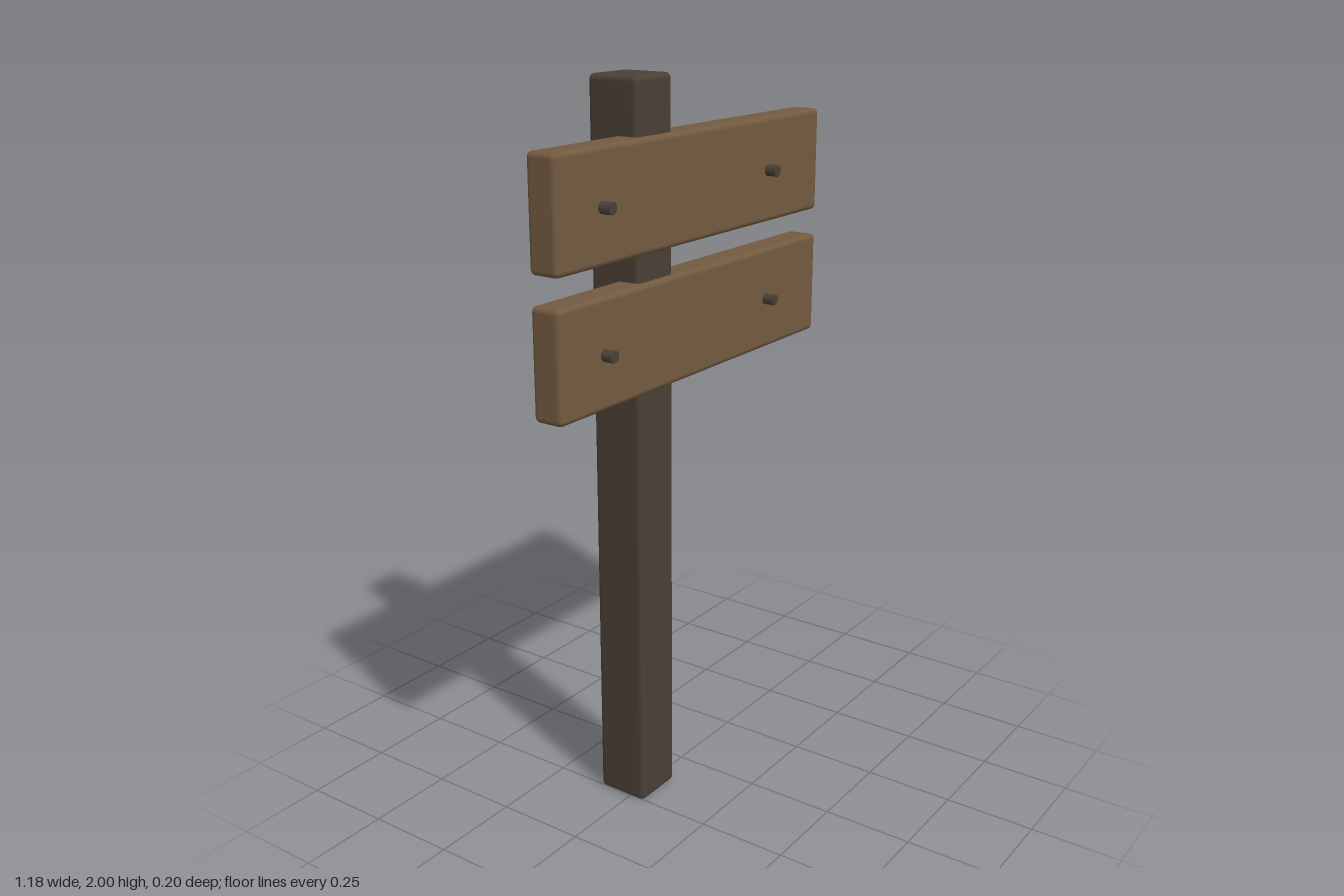
import * as THREE from 'three';
import { RoundedBoxGeometry } from 'three/addons/geometries/RoundedBoxGeometry.js';

export function createModel() {
  const group = new THREE.Group();
  const plankWood = new THREE.MeshStandardMaterial({ name: 'plankWood', color: 0x735a40 });
  const darkWood = new THREE.MeshStandardMaterial({ name: 'darkWood', color: 0x4a4035 });

  const add = (name, geometry, material, x, y, z) => {
    const mesh = new THREE.Mesh(geometry, material);
    mesh.name = name;
    mesh.position.set(x, y, z);
    group.add(mesh);
    return mesh;
  };

  // Square post with softened edges, set off to one side
  add('post', new RoundedBoxGeometry(0.151, 2, 0.151, 2, 0.015), darkWood, -0.182, 1, -0.0255);

  // Two sign planks, each with a pair of pegs sticking out in front
  const plank = new RoundedBoxGeometry(1.178, 0.289, 0.088, 2, 0.015);
  const peg = new THREE.CylinderGeometry(0.016, 0.016, 0.06, 12).rotateX(Math.PI / 2);
  [['upper', 1.71], ['lower', 1.349]].forEach(([level, y]) => {
    add(level + 'Plank', plank, plankWood, 0, y, 0.023);
    add(level + 'RightPeg', peg, darkWood, -0.418, y, 0.069);
    add(level + 'LeftPeg', peg, darkWood, 0.317, y, 0.069);
  });

  return group;
}
